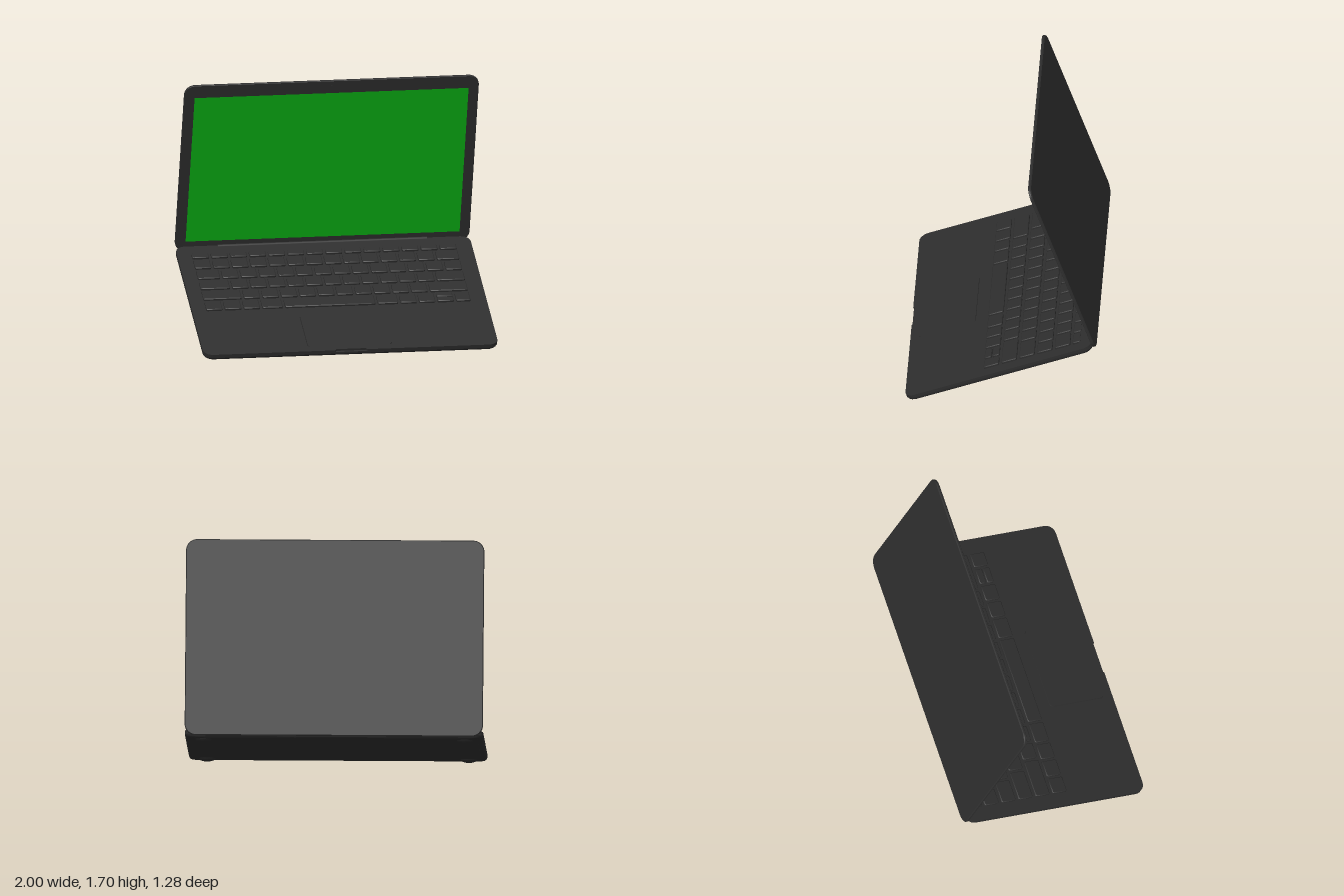
import * as THREE from 'three';
import { toCreasedNormals } from 'three/addons/utils/BufferGeometryUtils.js';

const dark = new THREE.MeshStandardMaterial({ color: 0x2e2e2e });
const green = new THREE.MeshStandardMaterial({ color: 0x0ab414, side: THREE.DoubleSide });

// Points [x, z] of a rounded rectangle around the origin
function roundRect(w, d, r, n = 6) {
  const pts = [];
  for (let c = 0; c < 4; c++) {
    const sx = c === 0 || c === 3 ? 1 : -1, sz = c < 2 ? 1 : -1;
    for (let j = 0; j <= n; j++) {
      const a = (c + j / n) * Math.PI / 2;
      pts.push([sx * (w / 2 - r) + r * Math.cos(a), sz * (d / 2 - r) + r * Math.sin(a)]);
    }
  }
  return pts;
}

// Closed solid through rounded rectangles [w, d, r, y], listed from top to bottom
function loft(sections, n = 6) {
  const rings = sections.map(([w, d, r, y]) => roundRect(w, d, r, n).map(([x, z]) => [x, y, z]));
  const v = [], count = rings[0].length, last = rings.length - 1;
  for (let i = 0; i < count; i++) {
    const k = (i + 1) % count;
    v.push([0, sections[0][3], 0], rings[0][k], rings[0][i]);
    v.push([0, sections[last][3], 0], rings[last][i], rings[last][k]);
    for (let s = 0; s < last; s++) {
      const a = rings[s], b = rings[s + 1];
      v.push(a[i], a[k], b[i], a[k], b[k], b[i]);
    }
  }
  const g = new THREE.BufferGeometry();
  g.setAttribute('position', new THREE.Float32BufferAttribute(v.flat(), 3));
  return toCreasedNormals(g, 0.5);
}

function add(parent, name, geometry, x = 0, y = 0, z = 0, material = dark) {
  const m = new THREE.Mesh(geometry, material);
  m.name = name;
  m.position.set(x, y, z);
  parent.add(m);
  return m;
}

const W = 2, D = 1.327, ZC = 0.0035;
const WELL_Z = -0.21, WELL_D = 0.744, PAD_Z = 0.408, PAD_D = 0.415;

// Deck outline with a finger notch in the front edge
function deckShape(inset) {
  const pts = roundRect(W, D, 0.065).map(([x, z]) => new THREE.Vector2(x, -(z + ZC)));
  const f = -(ZC + D / 2);
  pts.splice(7, 0, new THREE.Vector2(0.11, f), new THREE.Vector2(0.1, f + 0.014),
    new THREE.Vector2(-0.1, f + 0.014), new THREE.Vector2(-0.11, f));
  // the first corner ends at the front edge, so the notch follows it
  const shape = new THREE.Shape(pts);
  const hole = (w, d, r, zc) => shape.holes.push(
    new THREE.Path(roundRect(w, d, r).map(([x, z]) => new THREE.Vector2(x, -(z + zc)))));
  hole(1.86 - inset, WELL_D - inset, 0.02, WELL_Z);
  hole(0.58, PAD_D, 0.03, PAD_Z);
  return shape;
}

function buildBase() {
  const base = new THREE.Group();
  base.name = 'base';

  // Lower shell tapers to the bottom plate
  add(base, 'lowerShell', loft([
    [W, D, 0.065, -0.014], [W, D, 0.065, -0.026],
    [W - 0.012, D - 0.014, 0.06, -0.038], [W - 0.03, D - 0.026, 0.055, -0.044],
  ]), 0, 0, ZC);
  add(base, 'bottomPlate', loft([[1.93, 1.26, 0.05, -0.043], [1.92, 1.25, 0.05, -0.047]]), 0, 0, ZC);

  // Two deck layers give the key well its stepped rim
  [[0, -0.005, 0.005], [0.03, -0.014, 0.009]].forEach(([inset, y, depth]) => {
    const g = new THREE.ExtrudeGeometry(deckShape(inset), { depth, bevelEnabled: false });
    g.rotateX(-Math.PI / 2);
    add(base, 'deck', toCreasedNormals(g, 0.5), 0, y, 0);
  });

  add(base, 'trackpad', loft([[0.566, PAD_D - 0.012, 0.026, -0.004], [0.57, PAD_D - 0.008, 0.028, -0.014]]), 0, 0, PAD_Z);

  // Low domed feet
  const foot = new THREE.LatheGeometry([
    [0, -0.022], [0.03, -0.02], [0.05, -0.013], [0.06, 0],
  ].map(p => new THREE.Vector2(...p)), 24);
  for (const x of [-0.877, 0.877])
    for (const z of [-0.513, 0.54]) add(base, 'foot', foot, x, -0.044, z);

  // Hinge barrel
  const barrel = new THREE.CylinderGeometry(0.013, 0.013, 1.42, 16);
  barrel.rotateZ(Math.PI / 2);
  add(base, 'hinge', barrel, 0, -0.006, -0.657);
  return base;
}

function buildKeyboard() {
  const keyboard = new THREE.Group();
  keyboard.name = 'keyboard';
  const ones = n => Array(n).fill(1);
  // [row centre, row depth, key widths]
  const rows = [
    [-0.547, 0.055, ones(14)],
    [-0.447, 0.106, [...ones(13), 1.33]],
    [-0.32, 0.106, [1.33, ...ones(13)]],
    [-0.193, 0.106, [1.7, ...ones(11), 1.63]],
    [-0.066, 0.106, [2.18, ...ones(10), 2.15]],
    [0.061, 0.106, [1, 1.03, 1, 1.23, 5, 1.23, 1, 1, 1, 0.9]],
  ];
  const key = (x, z, w, d) => add(keyboard, 'key', loft([
    [w - 0.01, d - 0.01, 0.008, 0.001], [w, d, 0.01, -0.003], [w, d, 0.01, -0.014],
  ], 3), x, 0, z);
  rows.forEach(([z, d, widths], r) => {
    const unit = 1.81 / widths.reduce((a, b) => a + b);
    let x = -0.9;
    widths.forEach((u, i) => {
      const w = u * unit - 0.017, cx = x + w / 2;
      if (r === 5 && i === 8) { // stacked up and down arrows
        key(cx, z - 0.028, w, 0.049);
        key(cx, z + 0.028, w, 0.049);
      } else key(cx, z, w, d);
      x += u * unit;
    });
  });
  return keyboard;
}

function buildLid() {
  const lid = new THREE.Group();
  lid.name = 'lid';
  const panel = loft([
    [W - 0.006, 1.317, 0.07, 0.02], [W, 1.323, 0.073, 0.017],
    [W, 1.323, 0.073, 0.006], [W - 0.012, 1.311, 0.068, 0],
  ], 8);
  panel.rotateX(Math.PI / 2);
  add(lid, 'lidPanel', panel, 0, 0.6225, -0.684);
  add(lid, 'screen', new THREE.PlaneGeometry(1.86, 1.15), 0, 0.618, -0.655, green);
  const lens = new THREE.CylinderGeometry(0.009, 0.009, 0.004, 16);
  lens.rotateX(Math.PI / 2);
  add(lid, 'camera', lens, 0, 1.24, -0.663);
  return lid;
}

export function createModel() {
  const model = new THREE.Group();
  model.name = 'laptop';
  // The open laptop leans forward as a whole
  const body = new THREE.Group();
  body.name = 'laptopBody';
  body.add(buildBase(), buildKeyboard(), buildLid());
  body.rotation.x = THREE.MathUtils.degToRad(19.65);
  body.position.set(0, 0.264, 0.014);
  model.add(body);
  return model;
}
